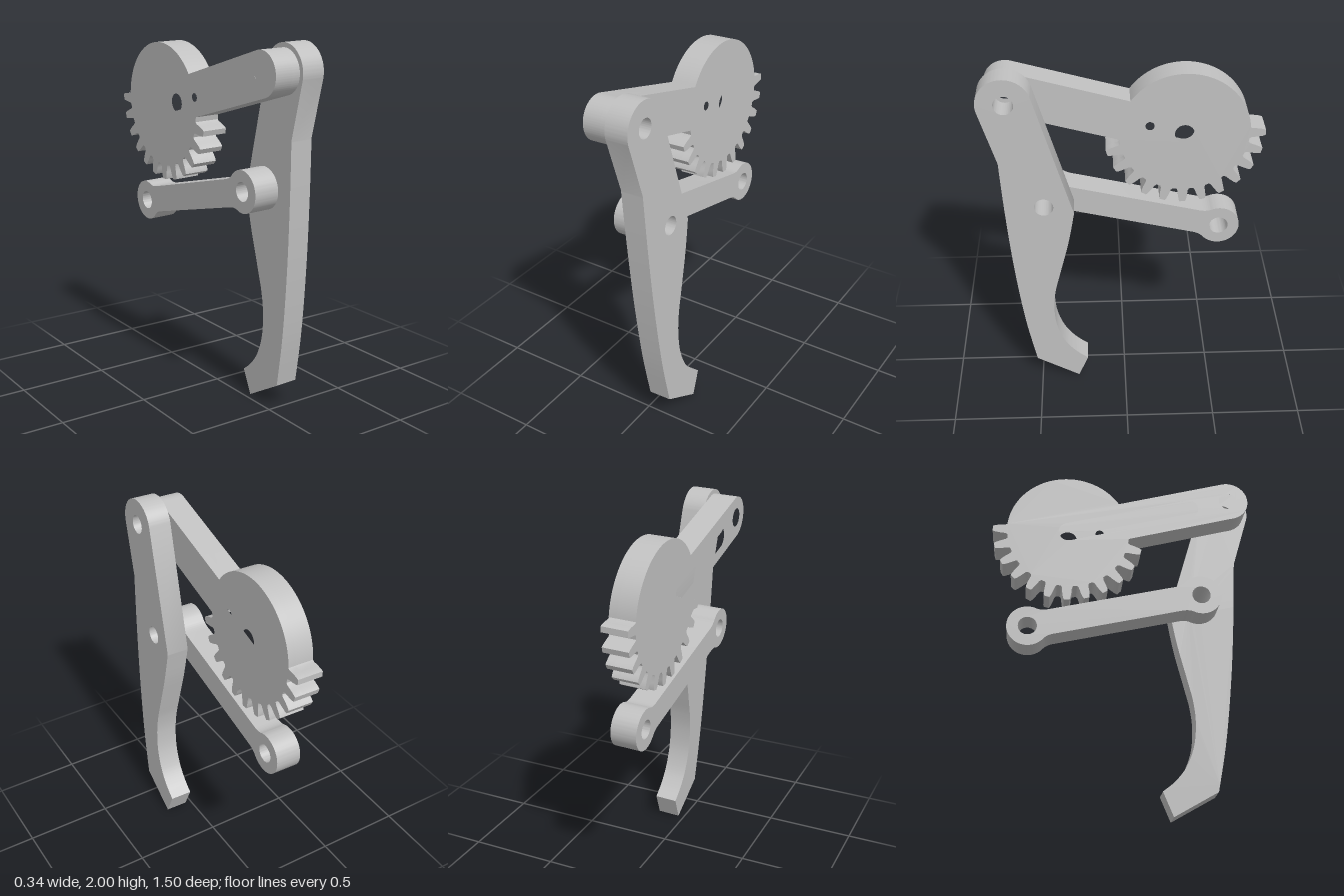
import * as THREE from 'three';
import { toCreasedNormals } from 'three/addons/utils/BufferGeometryUtils.js';

const THICK = 0.146;           // links and gear
const LEVER = 0.13;            // lever
const TOP = [-0.612, 1.857];   // upper pivot, as (-z, y)
const MID = [-0.438, 1.237];   // middle pivot
const GEAR = [0.32, 1.602];    // gear centre
const END = [0.53, 1.005];     // free end of the lower link
const BORE = 0.052;

const metal = new THREE.MeshStandardMaterial({ color: 0xc0c0c0 });
metal.name = 'light grey metal';

function hole([x, y], r = BORE) {
  return new THREE.Path().absarc(x, y, r, 0, Math.PI * 2, true);
}

// Flat plate cut from a side profile, extruded along x from x0 to x0 + depth
function plate(name, shape, holes, x0, depth) {
  shape.holes.push(...holes);
  const geo = new THREE.ExtrudeGeometry(shape, { depth, bevelEnabled: false, curveSegments: 32 });
  geo.translate(0, 0, x0).rotateY(Math.PI / 2);
  const mesh = new THREE.Mesh(toCreasedNormals(geo, 0.5), metal);
  mesh.name = name;
  return mesh;
}

// Curved finger lever with a hooked tip
function leverShape() {
  const s = new THREE.Shape();
  s.moveTo(-0.223, 0.138);
  s.splineThru([[-0.292, 0.196], [-0.355, 0.28], [-0.398, 0.398], [-0.41, 0.53], [-0.398, 0.652],
    [-0.366, 0.785], [-0.313, 0.997], [-0.276, 1.194]].map((p) => new THREE.Vector2(...p)));
  s.absarc(...TOP, 0.143, 0.25, Math.PI + 0.22, false);
  s.lineTo(-0.663, 1.517);
  s.splineThru([[-0.647, 1.183], [-0.62, 0.81], [-0.578, 0.44], [-0.525, 0.143]]
    .map((p) => new THREE.Vector2(...p)));
  s.lineTo(-0.28, 0.001);
  s.closePath();
  return s;
}

// Arm ending in a disc with twelve teeth around its lower half
function gearArmShape() {
  const [gx, gy] = GEAR;
  const a = Math.atan2(gy - TOP[1], gx - TOP[0]);
  const s = new THREE.Shape();
  s.absarc(...TOP, 0.118, a - Math.PI / 2, a + Math.PI / 2, true);
  s.absarc(gx, gy, 0.35, THREE.MathUtils.degToRad(145.5), 0.1, true);
  const at = (r, t) => s.lineTo(gx + r * Math.cos(t), gy + r * Math.sin(t));
  for (let k = 0; k < 12; k++) {
    const t = -k * Math.PI / 12;
    for (const [r, w] of [[0.347, 0.098], [0.358, 0.078], [0.39, 0.064], [0.416, 0.05], [0.43, 0.036]]) at(r, t + w);
    for (const [r, w] of [[0.43, 0.036], [0.416, 0.05], [0.39, 0.064], [0.358, 0.078], [0.347, 0.098]]) at(r, t - w);
  }
  s.lineTo(-0.027, 1.573);
  s.closePath();
  return s;
}

// Rounded slot from the gear centre along the arm
function slot(r) {
  const dx = TOP[0] - GEAR[0], dy = TOP[1] - GEAR[1];
  const a = Math.atan2(dy, dx), t = 0.75;
  const p = new THREE.Path();
  p.absarc(...GEAR, r, a - Math.PI / 2, a + Math.PI / 2, true);
  p.absarc(GEAR[0] + dx * t, GEAR[1] + dy * t, r, a + Math.PI / 2, a - Math.PI / 2, true);
  p.closePath();
  return p;
}

// Straight bar with a round boss at each end
function linkShape(A, B) {
  const a = Math.atan2(B[1] - A[1], B[0] - A[0]);
  const R = 0.115, w = 0.95;
  const s = new THREE.Shape();
  [[B, a], [A, a + Math.PI]].forEach(([[cx, cy], dir], i) => {
    const pt = (u, v) => [cx + u * Math.cos(dir) - v * Math.sin(dir), cy + u * Math.sin(dir) + v * Math.cos(dir)];
    if (i) s.lineTo(...pt(-0.13, -0.075)); else s.moveTo(...pt(-0.13, -0.075));
    s.quadraticCurveTo(...pt(-0.09, -0.076), ...pt(-R * Math.cos(w), -R * Math.sin(w)));
    s.absarc(cx, cy, R, dir - Math.PI + w, dir + Math.PI - w, false);
    s.quadraticCurveTo(...pt(-0.09, 0.076), ...pt(-0.13, 0.075));
  });
  s.closePath();
  return s;
}

export function createModel() {
  const model = new THREE.Group();
  model.name = 'gearedFinger';

  model.add(plate('fingerLever', leverShape(), [hole(TOP), hole(MID)], 0, LEVER));

  // Gear arm in two layers: the outer one carries the slot, the inner one is its floor
  const floor = 0.045;
  const arm = new THREE.Group();
  arm.name = 'gearArm';
  arm.add(
    plate('gearArmFloor', gearArmShape(), [hole(TOP), hole(GEAR), hole([0.135, 1.652], 0.024)], -floor, floor),
    plate('gearArmSlotted', gearArmShape(), [hole(TOP), slot(0.056)], -THICK, THICK - floor),
  );
  model.add(arm);

  model.add(plate('lowerLink', linkShape(MID, END), [hole(MID), hole(END)], -THICK, THICK));

  // Whole assembly leans slightly sideways
  model.rotation.z = 0.03;
  model.position.x = 0.035;
  const root = new THREE.Group();
  root.name = 'gripperFinger';
  root.add(model);
  return root;
}
